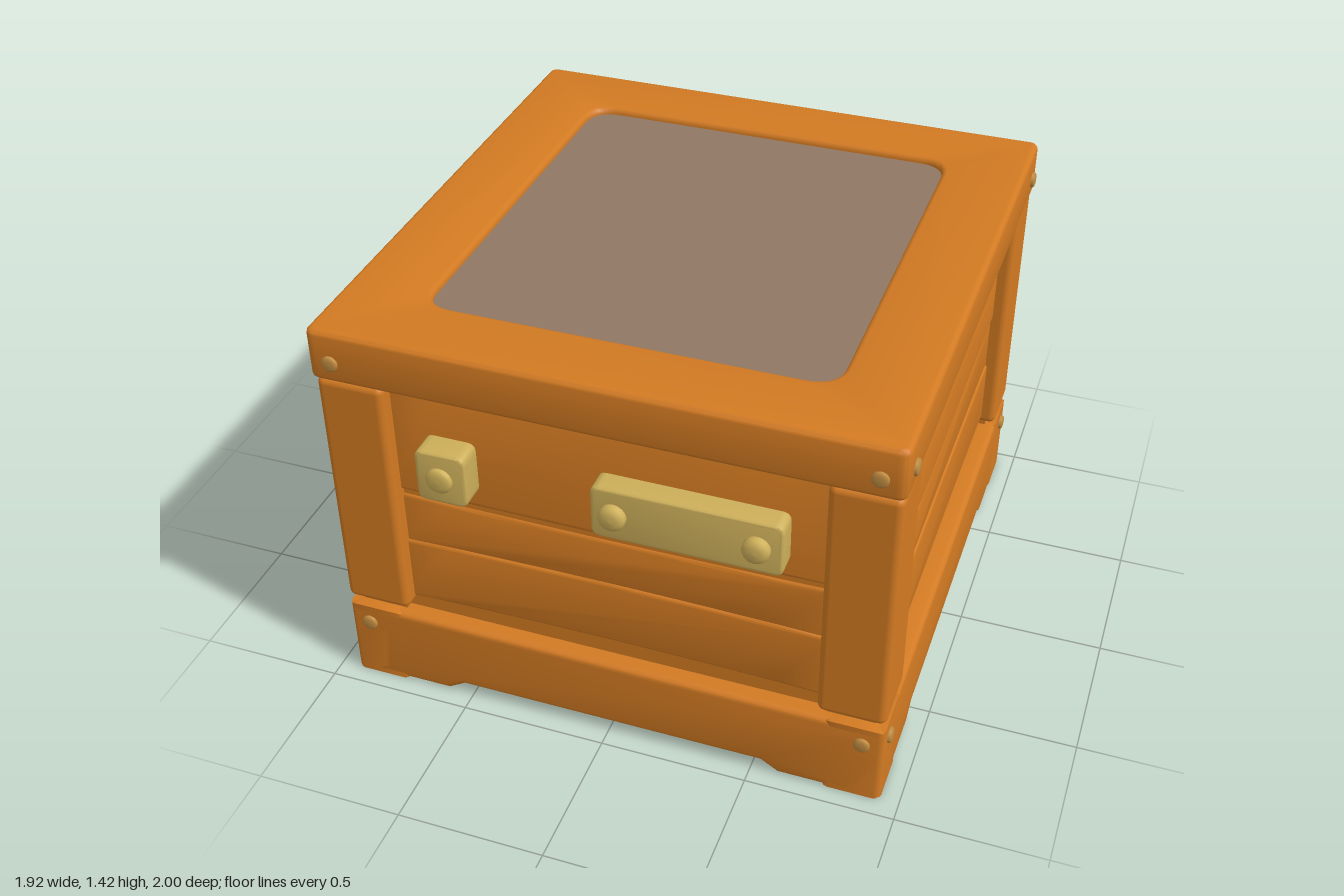
import * as THREE from 'three';
import { toCreasedNormals } from 'three/addons/utils/BufferGeometryUtils.js';
import { RoundedBoxGeometry } from 'three/addons/geometries/RoundedBoxGeometry.js';

const material = (name, color) => {
  const m = new THREE.MeshStandardMaterial({ color });
  m.name = name;
  return m;
};
const wood = material('orange wood', 0xd27a22);
const brass = material('brass', 0xcdaf5a);
const bolt = material('bolt bronze', 0xbe8a40);
const glass = material('smoky panel', 0x917765);

function add(parent, name, geometry, mat, x = 0, y = 0, z = 0) {
  const mesh = new THREE.Mesh(geometry, mat);
  mesh.name = name;
  mesh.position.set(x, y, z);
  parent.add(mesh);
  return mesh;
}

// Rounded-edge slab cut from an outline; its front face lies at z = 0
function slab(shape, depth, bevel) {
  const geo = new THREE.ExtrudeGeometry(shape, {
    depth: depth - 2 * bevel, bevelEnabled: true, bevelThickness: bevel,
    bevelSize: bevel, bevelOffset: -bevel, bevelSegments: 3, curveSegments: 8,
  });
  geo.translate(0, 0, bevel - depth);
  return toCreasedNormals(geo, 0.7);
}

function roundedRect(path, w, h, r) {
  const x = w / 2, y = h / 2;
  path.moveTo(-x + r, -y);
  path.lineTo(x - r, -y);
  path.quadraticCurveTo(x, -y, x, -y + r);
  path.lineTo(x, y - r);
  path.quadraticCurveTo(x, y, x - r, y);
  path.lineTo(-x + r, y);
  path.quadraticCurveTo(-x, y, -x, y - r);
  path.lineTo(-x, -y + r);
  path.quadraticCurveTo(-x, -y, -x + r, -y);
  return path;
}

// Board whose lower and upper edges bow slightly at mid length
function plank(length, y0, bow0, y1, bow1) {
  const x = length / 2;
  const s = new THREE.Shape();
  s.moveTo(-x, y0);
  s.quadraticCurveTo(0, y0 + 2 * bow0, x, y0);
  s.lineTo(x, y1);
  s.quadraticCurveTo(0, y1 + 2 * bow1, -x, y1);
  s.closePath();
  return slab(s, 0.1, 0.018);
}

// Base board with a shallow cut-out between the feet
function baseBoard(length) {
  const x = length / 2, f = 0.59;
  const s = new THREE.Shape();
  [[-x, 0], [-f, 0], [-f + 0.06, 0.037], [f - 0.06, 0.037], [f, 0], [x, 0], [x, 0.3], [-x, 0.3]]
    .forEach(([px, py], i) => (i ? s.lineTo(px, py) : s.moveTo(px, py)));
  s.closePath();
  return slab(s, 0.2, 0.022);
}

// Domed round head pointing to +z
function head(r, h) {
  const profile = [[r, -0.02], [r, h * 0.5], [r * 0.85, h * 0.8], [r * 0.5, h * 0.96], [0, h]];
  return new THREE.LatheGeometry(profile.map(p => new THREE.Vector2(...p)), 24).rotateX(Math.PI / 2);
}

const HX = 0.937, HZ = 0.955;

export function createModel() {
  const model = new THREE.Group();
  model.name = 'woodenCrate';
  const crate = new THREE.Group();
  crate.name = 'crate';
  crate.position.z = -0.0175;
  model.add(crate);

  // Inner body and floor
  add(crate, 'innerBody', new THREE.BoxGeometry(1.74, 1.05, 1.78), wood, 0, 0.805, 0);
  add(crate, 'floor', new THREE.BoxGeometry(1.6, 0.27, 1.64), wood, 0, 0.165, 0);

  // Corner posts with a short peg below each
  for (const sx of [-1, 1]) for (const sz of [-1, 1]) {
    add(crate, 'cornerPost', new RoundedBoxGeometry(0.227, 0.905, 0.235, 3, 0.025), wood,
      sx * (HX - 0.1135), 0.7825, sz * (HZ - 0.1175));
    add(crate, 'postPeg', new THREE.BoxGeometry(0.16, 0.08, 0.16), wood,
      sx * (HX - 0.12), 0.32, sz * (HZ - 0.12));
  }

  // Plank joints: lower edge, lower bow, upper edge, upper bow, setback
  const low = [[0.345, 0.014, 0.601, 0.012, 0], [0.583, 0.012, 0.793, -0.006, 0.006]];
  const wide = [...low, [0.807, -0.004, 1.238, 0, 0]];
  const narrow = [...low, [0.798, -0.004, 1.015, -0.013, 0], [1.025, -0.01, 1.238, 0, 0]];

  // Four walls: planks, base board and bolts, turned about the middle
  for (let i = 0; i < 4; i++) {
    const side = i % 2 === 1;
    const out = side ? HX : HZ, along = side ? HZ : HX;
    const wall = new THREE.Group();
    wall.name = ['frontWall', 'leftWall', 'backWall', 'rightWall'][i];
    wall.rotation.y = i * Math.PI / 2;
    crate.add(wall);
    for (const [y0, b0, y1, b1, back] of side ? narrow : wide) {
      add(wall, 'wallPlank', plank(1.5, y0, b0, y1, b1), wood, 0, 0, out - 0.052 - back);
    }
    add(wall, 'baseBoard', baseBoard(along * 2), wood, 0, 0, out);
    for (const s of [-1, 1]) {
      const x = s * (along - 0.072);
      add(wall, 'baseBolt', head(0.027, 0.014), bolt, x, 0.232, out);
      add(wall, 'lidBolt', head(0.027, 0.014), bolt, x, 1.312, side ? 0.945 : 0.97);
    }
  }

  // Lid frame with a sunken panel
  const frame = roundedRect(new THREE.Shape(), 1.89, 1.94, 0.035);
  frame.holes.push(roundedRect(new THREE.Path(), 1.33, 1.43, 0.1));
  add(crate, 'lidFrame', slab(frame, 0.18, 0.018).rotateX(-Math.PI / 2), wood, 0, 1.42, 0);
  const panel = roundedRect(new THREE.Shape(), 1.37, 1.47, 0.1);
  add(crate, 'lidPanel', new THREE.ExtrudeGeometry(panel, { depth: 0.05, bevelEnabled: false })
    .rotateX(-Math.PI / 2), glass, 0, 1.347, 0);

  // Brass latch plates with rivets on the front
  const plates = [
    ['catchPlate', -0.515, 0.17, 0.975, [-0.517]],
    ['hingePlate', 0.287, 0.614, 0.962, [0.055, 0.512]],
  ];
  for (const [name, x, width, front, rivets] of plates) {
    const outline = roundedRect(new THREE.Shape(), width, 0.192, 0.03);
    add(model, name, slab(outline, 0.11, 0.01), brass, x, 0.967, front);
    for (const rx of rivets) add(model, 'plateRivet', head(0.044, 0.998 - front), brass, rx, 0.967, front);
  }
  return model;
}
